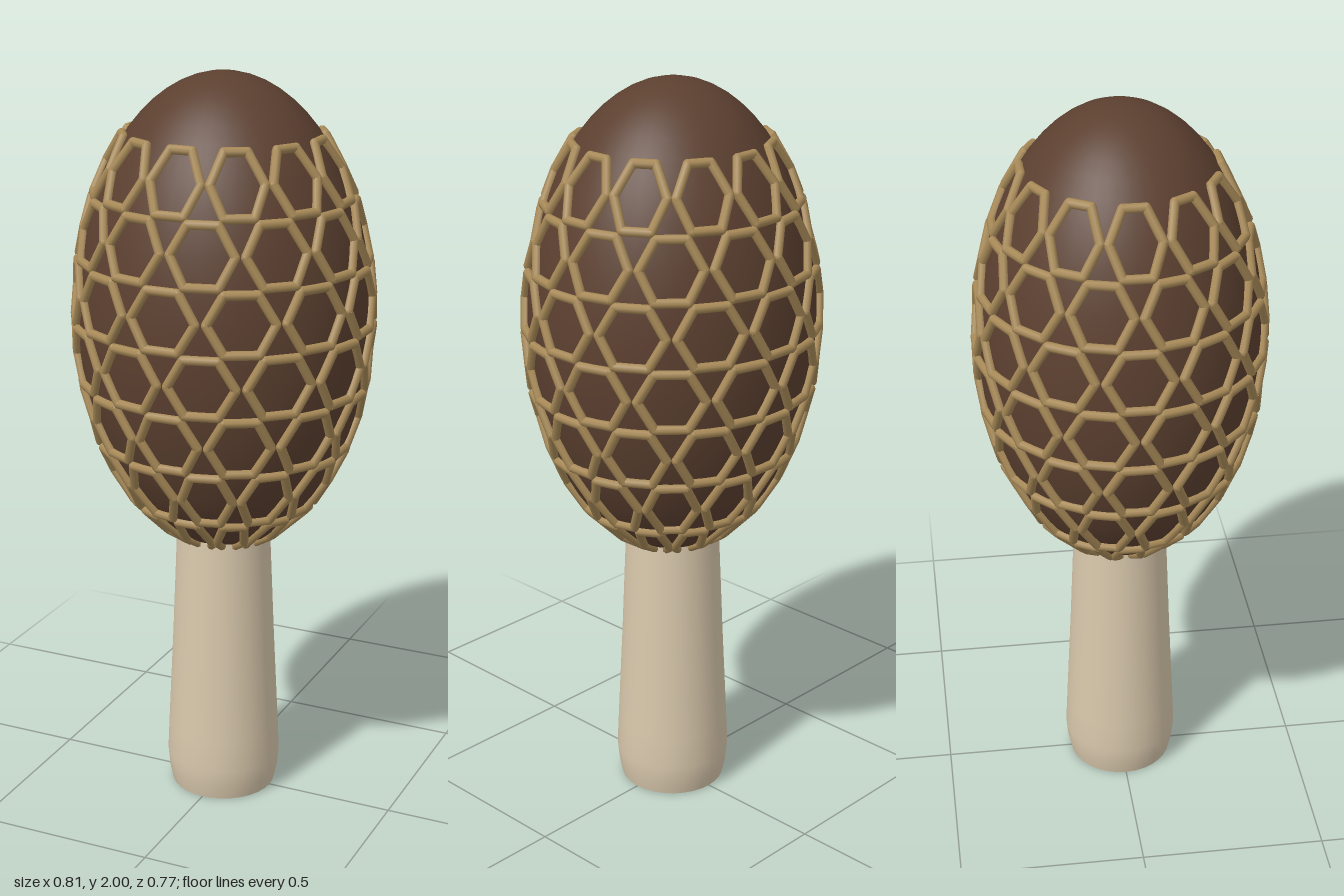
import * as THREE from 'three';
import { mergeGeometries } from 'three/addons/utils/BufferGeometryUtils.js';

const CENTER = 1.36, HALF = 0.64, RX = 0.39, RZ = 0.37, TUBE = 0.0125;

// Point on the cap surface at a height and an angle around the axis (degrees)
function capPoint(y, deg) {
  const t = THREE.MathUtils.clamp((y - CENTER) / HALF, -0.96, 0.96);
  const r = Math.sqrt(1 - t * t);
  const a = THREE.MathUtils.degToRad(deg);
  return new THREE.Vector3(
    (RX * r + 0.005) * Math.sin(a), CENTER + HALF * t, (RZ * r + 0.005) * Math.cos(a));
}

// Round bar between two points
function bar(a, b) {
  const dir = b.clone().sub(a);
  const g = new THREE.CylinderGeometry(TUBE, TUBE, dir.length(), 8);
  g.applyQuaternion(new THREE.Quaternion().setFromUnitVectors(
    new THREE.Vector3(0, 1, 0), dir.clone().normalize()));
  const m = a.clone().add(b).multiplyScalar(0.5);
  return g.translate(m.x, m.y, m.z);
}

// Six-sided ridge frame lying on the cap
function cell(y, deg) {
  const h = 0.075, w = 13;
  const pts = [[w, 0], [w / 2, h], [-w / 2, h], [-w, 0], [-w / 2, -h], [w / 2, -h]]
    .map(([d, dy]) => capPoint(y + dy, deg + d));
  return pts.flatMap((p, i) => [
    bar(p, pts[(i + 1) % 6]),
    new THREE.SphereGeometry(TUBE, 8, 6).translate(p.x, p.y, p.z)
  ]);
}

export function createModel() {
  const group = new THREE.Group();
  const capBrown = new THREE.MeshStandardMaterial({ color: 0x5c4030 });
  const ridgeTan = new THREE.MeshStandardMaterial({ color: 0xa88a58 });
  const stemCream = new THREE.MeshStandardMaterial({ color: 0xd9c8ac });
  capBrown.name = 'capBrown';
  ridgeTan.name = 'ridgeTan';
  stemCream.name = 'stemCream';

  const add = (name, geometry, material) => {
    const mesh = new THREE.Mesh(geometry, material);
    mesh.name = name;
    group.add(mesh);
  };

  // Egg-shaped cap
  add('cap', new THREE.SphereGeometry(1, 48, 32).scale(RX, HALF, RZ).translate(0, CENTER, 0), capBrown);

  // Seven staggered rings of twelve cells
  for (let row = 0; row < 7; row++) {
    const parts = [];
    for (let i = 0; i < 12; i++) parts.push(...cell(1.765 - row * 0.165, i * 30 + (row % 2) * 15));
    add('ridgeRing' + (row + 1), mergeGeometries(parts), ridgeTan);
  }

  // Tapered stem, wider near the foot
  const profile = [[0.143, 0], [0.152, 0.04], [0.157, 0.09], [0.153, 0.18], [0.14, 0.45], [0.127, 0.76], [0.125, 0.82]]
    .map(([x, y]) => new THREE.Vector2(x, y));
  add('stem', new THREE.LatheGeometry(profile, 32), stemCream);
  add('stemBase', new THREE.CircleGeometry(0.143, 32).rotateX(Math.PI / 2), stemCream);

  return group;
}
